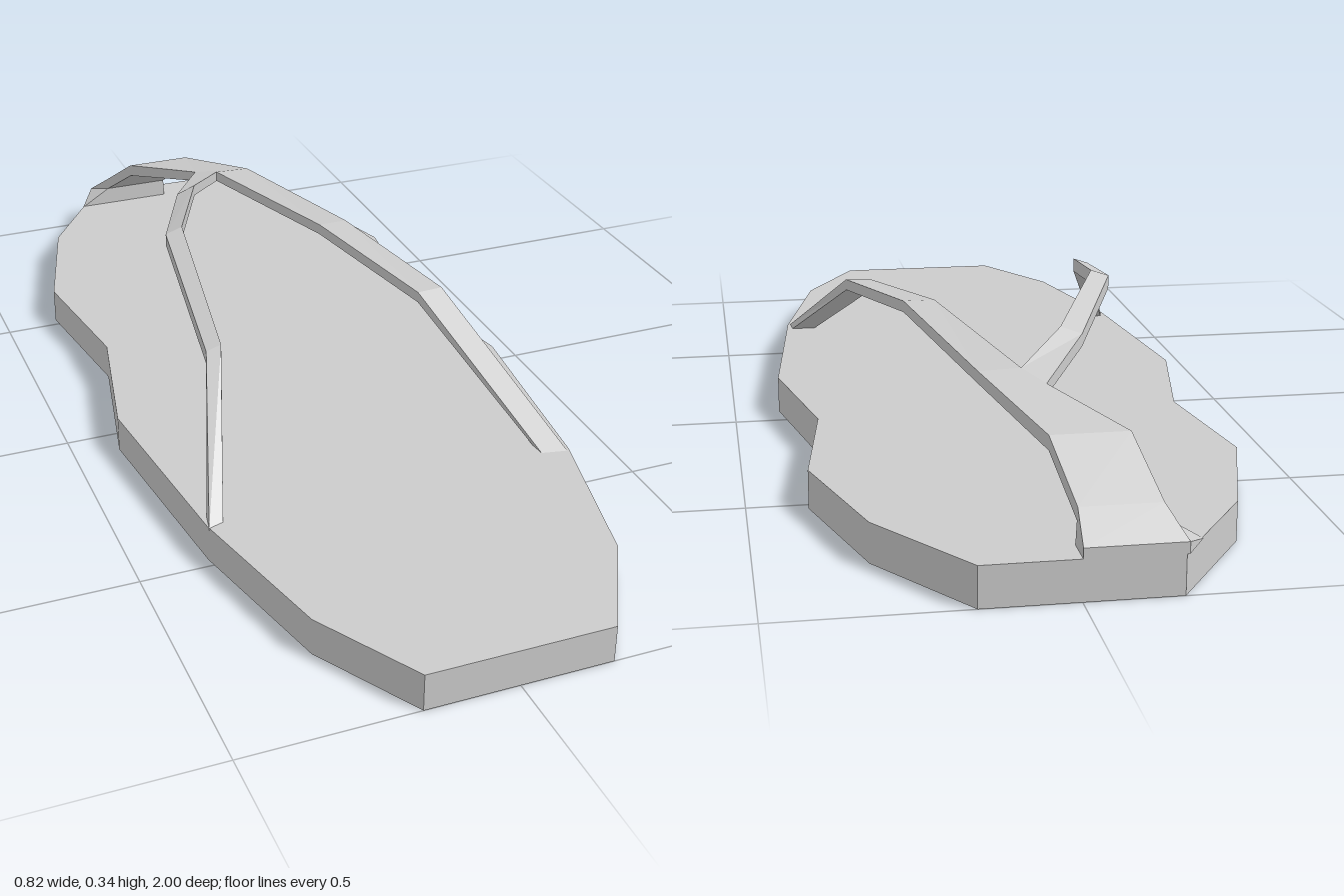
import * as THREE from 'three';

const material = new THREE.MeshStandardMaterial({ color: 0xcccccc, flatShading: true });

// Strap section: top edge corners l and r, with the underside t below them
const band = (l, r, t) => [l, r, [r[0], r[1] - t, r[2]], [l[0], l[1] - t, l[2]]];

// Joins four-cornered sections running from front to back, and caps both ends
function loft(sections) {
  const pos = [];
  const tri = (...points) => points.forEach((p) => pos.push(...p));
  const first = sections[0], last = sections[sections.length - 1];
  for (let s = 0; s < sections.length - 1; s++) {
    const a = sections[s], b = sections[s + 1];
    for (let i = 0; i < 4; i++) {
      const j = (i + 1) % 4;
      tri(a[i], a[j], b[j]);
      tri(a[i], b[j], b[i]);
    }
  }
  tri(first[0], first[3], first[2]);
  tri(first[0], first[2], first[1]);
  tri(last[0], last[1], last[2]);
  tri(last[0], last[2], last[3]);
  const geometry = new THREE.BufferGeometry();
  geometry.setAttribute('position', new THREE.Float32BufferAttribute(pos, 3));
  geometry.computeVertexNormals();
  return geometry;
}

export function createModel() {
  const group = new THREE.Group();
  const add = (name, geometry) => {
    const mesh = new THREE.Mesh(geometry, material);
    mesh.name = name;
    group.add(mesh);
  };

  // Sole: half outline (x, z) mirrored across x
  const half = [[0.175, 1], [0.29, 0.8], [0.365, 0.48], [0.41, 0.06],
    [0.35, -0.23], [0.39, -0.52], [0.31, -0.79], [0.165, -1]];
  const outline = [...half, ...half.slice().reverse().map(([x, z]) => [-x, z])];
  const sole = new THREE.ExtrudeGeometry(
    new THREE.Shape(outline.map(([x, z]) => new THREE.Vector2(x, -z))),
    { depth: 0.072, bevelEnabled: false });
  sole.rotateX(-Math.PI / 2);
  add('sole', sole);

  // Corners where the two straps meet
  const crotch = [0.025, 0.265, -0.6];
  const joinRight = [-0.01, 0.25, -0.65];
  const joinLeft = [0.1, 0.262, -0.6];

  // Narrow strap on the right side of the foot
  add('rightStrap', loft([
    [[-0.365, 0.07, 0.49], [-0.335, 0.07, 0.48], [-0.335, 0.065, 0.46], [-0.36, 0.065, 0.46]],
    band([-0.265, 0.26, 0.19], [-0.235, 0.27, 0.19], 0.028),
    band([-0.22, 0.325, -0.2], [-0.185, 0.337, -0.2], 0.026),
    band([-0.11, 0.285, -0.47], [-0.07, 0.3, -0.47], 0.024),
    band(joinRight, crotch, 0.022),
  ]));

  // Wider strap on the left side, widening at the join and running down to the end of the sole
  const endRight = [-0.17, 0.09, -1], endLeft = [0, 0.09, -1];
  add('leftStrap', loft([
    [[0.31, 0.07, 0.48], [0.36, 0.07, 0.49], [0.36, 0.065, 0.46], [0.31, 0.065, 0.46]],
    band([0.21, 0.26, 0.11], [0.262, 0.262, 0.11], 0.022),
    band([0.12, 0.29, -0.2], [0.18, 0.29, -0.2], 0.022),
    band(crotch, joinLeft, 0.022),
    band(joinRight, joinLeft, 0.022),
    band([-0.117, 0.215, -0.82], [0.02, 0.215, -0.82], 0.026),
    band([-0.143, 0.135, -0.94], [-0.003, 0.135, -0.94], 0.025),
    [endRight, endLeft, [0, 0.07, -0.94], [-0.208, 0.07, -0.94]],
    band(endRight, endLeft, 0.02),
  ]));

  return group;
}
